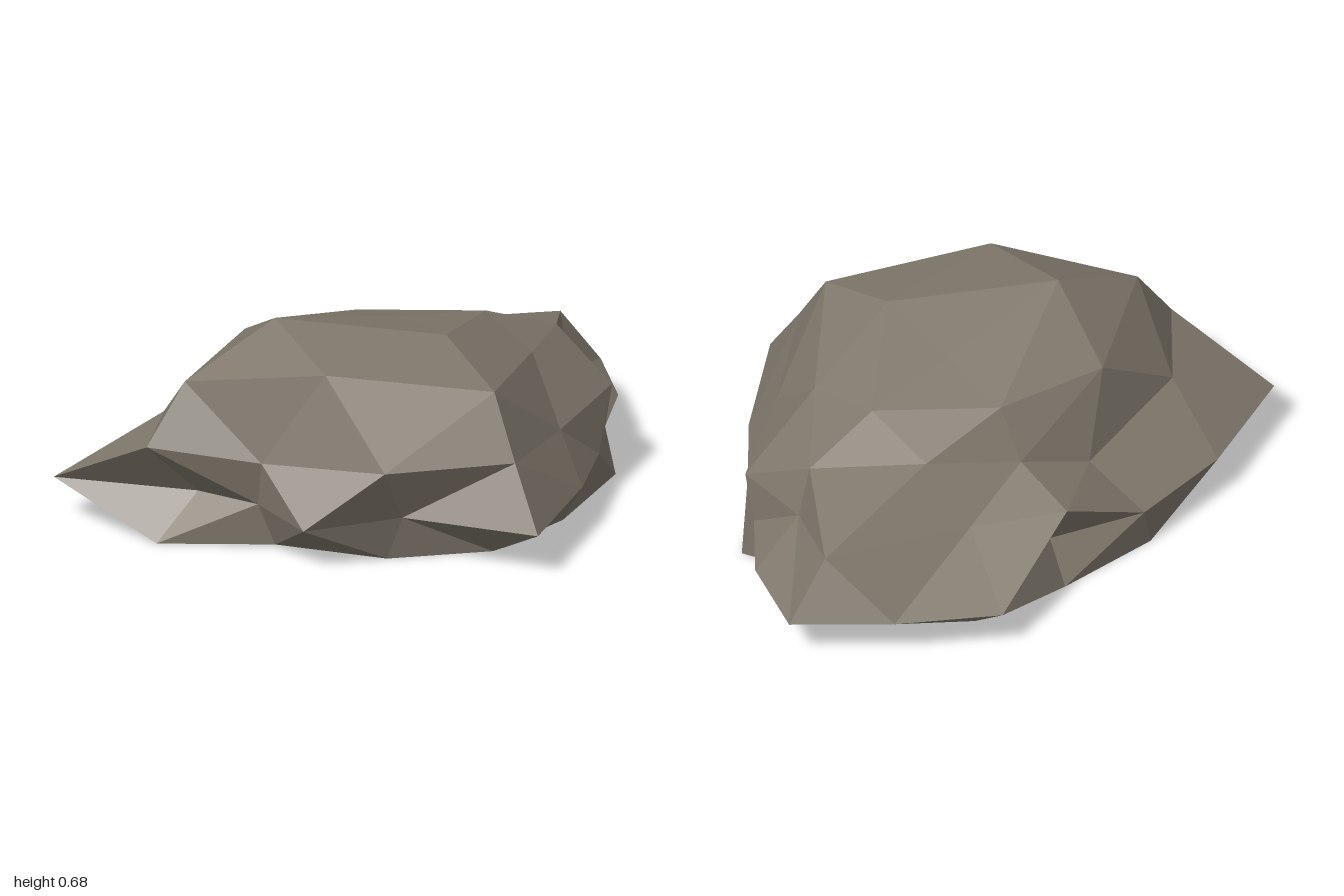
import * as THREE from 'three';

// Radii of each ring, from the widest ring to the pole, going from +x round through +z
const EQUATOR = [0.617, 0.53, 0.55, 0.65, 0.88, 0.57, 0.66, 0.51, 0.55, 0.868, 0.721, 0.62, 0.48, 0.75, 0.715, 0.755];
const UPPER = [
  EQUATOR,
  [0.52, 0.6, 0.59, 0.8, 0.73, 0.59, 0.75, 0.645, 0.465, 0.61, 0.5, 0.72],
  [0.63, 0.64, 0.863, 0.87, 0.83, 0.71, 0.48, 0.55],
  [0.65, 0.81, 0.88, 0.63],
  [0.68],
];
const LOWER = [
  EQUATOR,
  [0.48, 0.61, 0.6, 0.65, 0.59, 0.53, 0.72, 0.75, 0.67, 0.6, 0.62, 0.58],
  Array(8).fill(0.5),
  Array(4).fill(0.5),
  [0.5],
];
const CENTRE = new THREE.Vector3(0.07, 0.15, -0.1);
const STRETCH = new THREE.Vector3(1.33, 0.655, 1);

// One point of an octahedral sphere, pushed out by its radius and cut off at the ground
function rockPoint(rings, level, index, sign) {
  const n = 4 - level;
  const radii = rings[level];
  const i = index % radii.length;
  const quadrant = n ? Math.floor(i / n) : 0;
  const step = n ? i % n : 0;
  // a 3:1 edge point lies at 22.5 degrees on the sphere
  let [x, y, z] = [n - step, level, step].map((v) => (v === 3 ? 1 + Math.SQRT2 : v));
  for (let q = 0; q < quadrant; q++) [x, z] = [-z, x];
  const p = new THREE.Vector3(x, sign * y, z).normalize();
  p.multiplyScalar(radii[i]).multiply(STRETCH).add(CENTRE);
  p.y = Math.max(0, p.y);
  return p;
}

// Join neighbouring rings of one half with triangles
function addHalf(points, rings, sign) {
  const tri = (a, b, c) => points.push(...(sign > 0 ? [a, b, c] : [a, c, b]));
  for (let level = 0; level < 4; level++) {
    const n = 4 - level;
    const wide = (i) => rockPoint(rings, level, i, sign);
    const narrow = (i) => rockPoint(rings, level + 1, i, sign);
    for (let q = 0; q < 4; q++) {
      for (let s = 0; s < n; s++) {
        const w = q * n + s;
        const u = q * (n - 1) + s;
        tri(wide(w), narrow(u), wide(w + 1));
        if (s < n - 1) tri(narrow(u), narrow(u + 1), wide(w + 1));
      }
    }
  }
}

export function createModel() {
  const stone = new THREE.MeshStandardMaterial({ color: 0x80786c, flatShading: true });
  stone.name = 'stone';

  const points = [];
  addHalf(points, UPPER, 1);
  addHalf(points, LOWER, -1);
  const geometry = new THREE.BufferGeometry().setFromPoints(points);
  geometry.computeVertexNormals();

  const rock = new THREE.Mesh(geometry, stone);
  rock.name = 'rock';
  const group = new THREE.Group();
  group.name = 'boulder';
  group.add(rock);
  return group;
}
